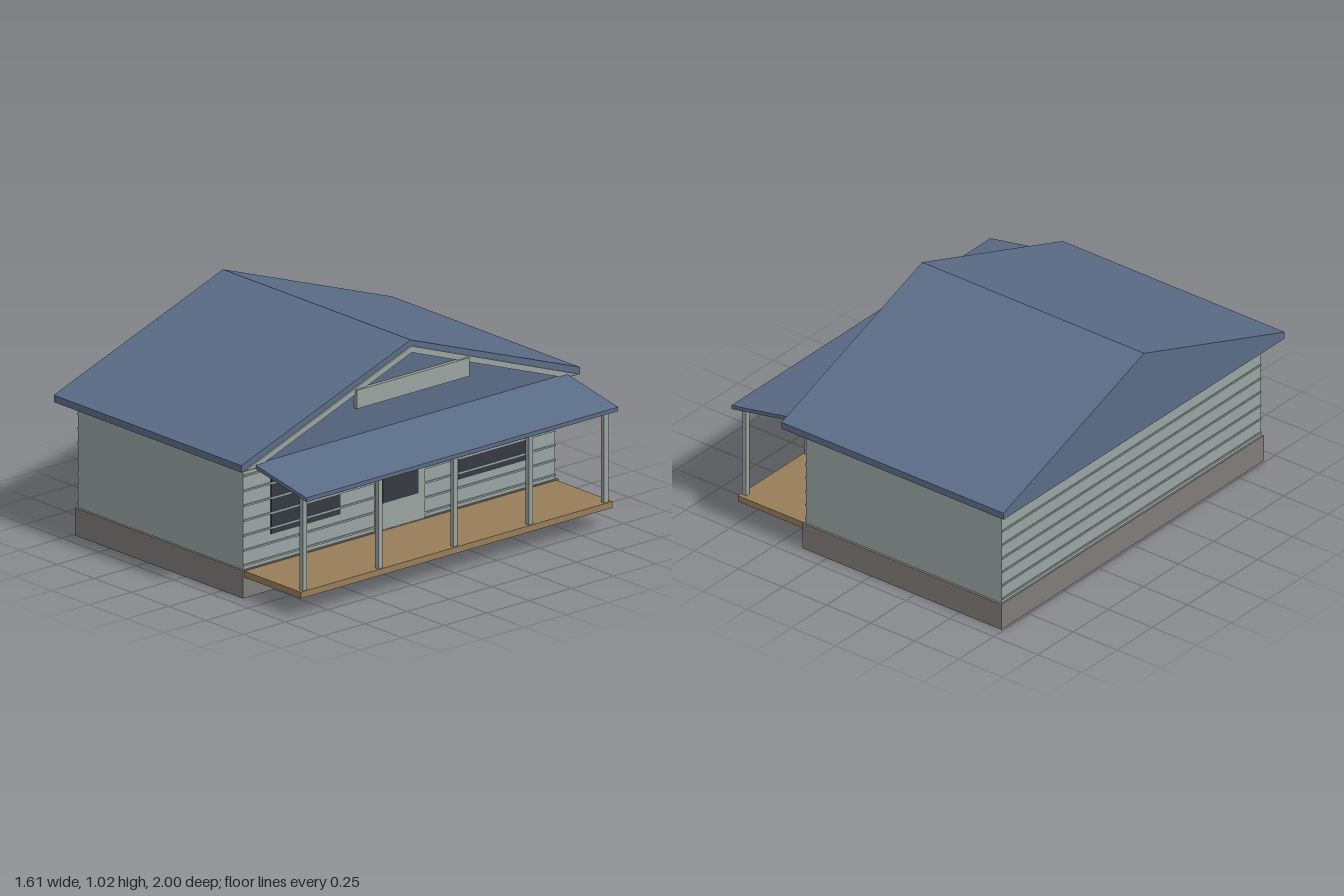
import * as THREE from 'three';

const material = (name, color) => {
  const m = new THREE.MeshStandardMaterial({ color });
  m.name = name;
  return m;
};

export function createModel() {
  const house = new THREE.Group();
  house.name = 'house';
  const roofBlue = material('roof blue', 0x5b6c87);
  const wallGrey = material('wall grey', 0x98a4a3);
  const trimGrey = material('trim grey', 0x9aa39f);
  const stone = material('foundation grey', 0x7f7b78);
  const wood = material('deck wood', 0x977d59);
  const glass = material('dark glass', 0x363a41);

  const add = (name, geometry, mat) => {
    const mesh = new THREE.Mesh(geometry, mat);
    mesh.name = name;
    house.add(mesh);
    return mesh;
  };
  // Box given by its extents on each axis
  const box = (name, mat, [x0, x1], [y0, y1], [z0, z1]) => {
    add(name, new THREE.BoxGeometry(x1 - x0, y1 - y0, z1 - z0), mat)
      .position.set((x0 + x1) / 2, (y0 + y1) / 2, (z0 + z1) / 2);
  };
  // Profile of [z, y] points extruded along x
  const prismX = (name, mat, points, x0, x1) => {
    const shape = new THREE.Shape(points.map(([z, y]) => new THREE.Vector2(-z, y)));
    const geometry = new THREE.ExtrudeGeometry(shape, { depth: x1 - x0, bevelEnabled: false });
    geometry.rotateY(Math.PI / 2).translate(x0, 0, 0);
    add(name, geometry, mat);
  };

  // Main body
  box('foundation', stone, [-0.74, 0.388], [0, 0.13], [-0.933, 0.933]);
  box('walls', wallGrey, [-0.732, 0.378], [0.13, 0.626], [-0.922, 0.922]);

  // Siding strips on both gable walls
  for (let i = 0; i < 7; i++) {
    const y = 0.15 + i * 0.07;
    box('backSiding', wallGrey, [-0.737, -0.731], [y - 0.004, y + 0.004], [-0.922, 0.922]);
    box('porchSiding', wallGrey, [0.377, 0.384], [y - 0.004, y + 0.004], [-0.922, 0.922]);
  }

  // Gable roof and its bargeboard
  prismX('mainRoof', roofBlue,
    [[-1, 0.625], [1, 0.625], [1, 0.658], [0, 1.017], [-1, 0.658]], -0.805, 0.455);
  prismX('gableTrim', trimGrey,
    [[-0.985, 0.63], [0, 0.99], [0.985, 0.63], [0.91, 0.63], [0, 0.96], [-0.91, 0.63]], 0.455, 0.463);
  box('gableBoard', trimGrey, [0.455, 0.474], [0.775, 0.862], [-0.333, 0.333]);

  // Sloping porch roof
  const slope = new THREE.Shape([
    new THREE.Vector2(0.445, 0.629), new THREE.Vector2(0.802, 0.56),
    new THREE.Vector2(0.802, 0.579), new THREE.Vector2(0.445, 0.647),
  ]);
  const slab = new THREE.ExtrudeGeometry(slope, { depth: 1.844, bevelEnabled: false });
  add('porchRoof', slab.translate(0, 0, -0.922), roofBlue);

  // Porch deck and posts
  box('porchDeck', wood, [0.38, 0.765], [0.096, 0.126], [-0.922, 0.922]);
  for (const z of [-0.89, -0.445, 0, 0.445, 0.89]) {
    box('porchPost', trimGrey, [0.735, 0.758], [0.126, 0.565], [z - 0.012, z + 0.012]);
  }

  // Door with its pane, and a window on each side
  box('door', trimGrey, [0.377, 0.386], [0.13, 0.515], [-0.146, 0.146]);
  box('doorPane', glass, [0.385, 0.389], [0.255, 0.472], [-0.106, 0.106]);
  for (const s of [-1, 1]) {
    box('window', glass, [0.377, 0.382], [0.26, 0.52], [s * 0.555 - 0.204, s * 0.555 + 0.204]);
  }
  return house;
}
